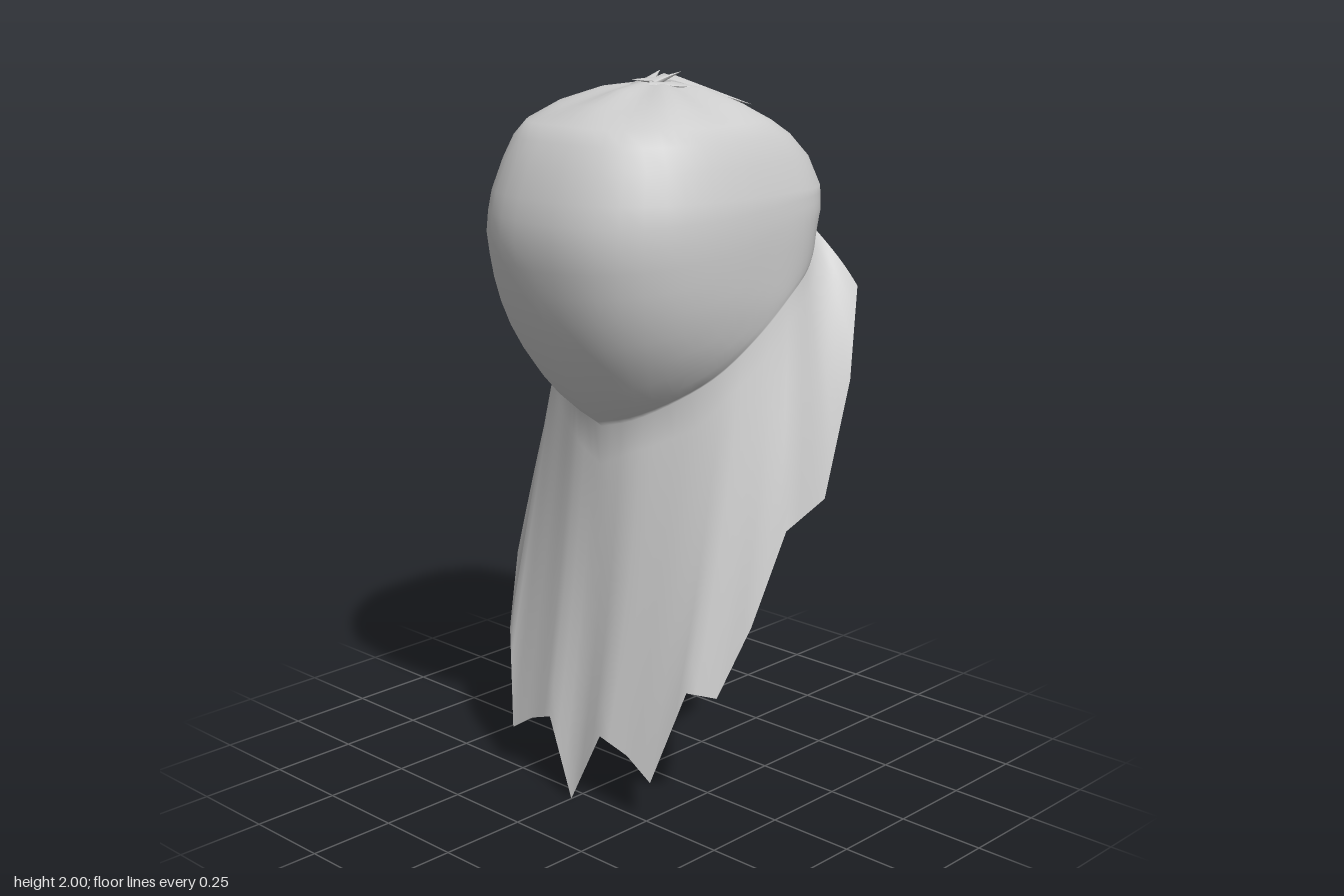
import * as THREE from 'three';
import { mergeGeometries, mergeVertices } from 'three/addons/utils/BufferGeometryUtils.js';

const V = (x, y, z) => new THREE.Vector3(x, y, z);
const lerp = THREE.MathUtils.lerp;

// Half of the hood opening, from the back centre round the left side to the front centre
const RIM = [
  V(0, 1.65, -0.405), V(0.15, 1.64, -0.405), V(0.29, 1.575, -0.372), V(0.355, 1.485, -0.27), V(0.378, 1.415, -0.16),
  V(0.36, 1.325, -0.06), V(0.3, 1.225, 0.03), V(0.2, 1.145, 0.1), V(0.1, 1.09, 0.15), V(0, 1.06, 0.165),
];
const rimCurve = new THREE.CatmullRomCurve3(RIM);
const LAST = RIM.length - 1;

function rimPoint(u) {
  const p = rimCurve.getPoint(u / LAST);
  if (u === 0 || u === LAST) p.x = 0;
  return p;
}

// Hood sections: height, half width, front z, back z, centre z
const SECTIONS = [
  [1.975, 0.035, 0.0, -0.11, -0.06], [1.955, 0.14, 0.09, -0.14, -0.06], [1.92, 0.24, 0.2, -0.19, -0.06],
  [1.88, 0.3, 0.3, -0.26, -0.07], [1.84, 0.33, 0.335, -0.32, -0.08], [1.78, 0.355, 0.37, -0.38, -0.1],
  [1.7, 0.38, 0.4, -0.415, -0.1], [1.64, 0.388, 0.413, -0.41, -0.1], [1.59, 0.39, 0.42, -0.388, -0.1],
  [1.45, 0.388, 0.405, -0.37, -0.1], [1.35, 0.375, 0.38, -0.35, -0.1], [1.22, 0.33, 0.32, -0.3, -0.1],
  [1.12, 0.27, 0.23, -0.25, -0.1], [1.05, 0.2, 0.165, -0.2, -0.1],
];

function sectionAt(y) {
  let k = 0;
  while (k < SECTIONS.length - 2 && y < SECTIONS[k + 1][0]) k++;
  const a = SECTIONS[k], b = SECTIONS[k + 1];
  const t = THREE.MathUtils.clamp((a[0] - y) / (a[0] - b[0]), 0, 1);
  return a.map((v, i) => lerp(v, b[i], t));
}

// Point on the rounded-square section at a height, angle measured from the front
function hoodPoint(angle, y) {
  const [, w, zf, zb, zc] = sectionAt(y);
  const s = Math.sin(angle), c = Math.cos(angle);
  const d = c > 0 ? zf - zc : zc - zb;
  const n = lerp(2.6, c > 0 ? 2.6 : 3.6, Math.min(1, Math.abs(c) * 3));
  const r = Math.pow(Math.pow(Math.abs(s) / w, n) + Math.pow(Math.abs(c) / d, n), -1 / n);
  return V(r * s, y, zc + r * c);
}

// Add the mirrored half to a row that ends on the centre line at the front
const mirrorRow = (row) => [...row, ...row.slice(0, -1).reverse().map((p) => V(-p.x, p.y, p.z))];

// Sheet through rows of points
function sheet(rows) {
  const n = rows[0].length, index = [];
  for (let i = 0; i < rows.length - 1; i++) {
    for (let j = 0; j < n - 1; j++) {
      const a = i * n + j, b = a + 1, c = a + n, d = c + 1;
      index.push(a, b, c, b, d, c);
    }
  }
  return new THREE.BufferGeometry().setFromPoints(rows.flat()).setIndex(index);
}

// Ragged hem stations: position along RIM, then the hem point
const HEM = [
  [2, V(0.435, 1.43, -0.385)], [2.5, V(0.485, 1.19, -0.3)], [3.1, V(0.495, 0.88, -0.19)],
  [3.8, V(0.487, 0.82, -0.04)], [4.4, V(0.46, 0.57, 0.065)], [5, V(0.41, 0.375, 0.145)],
  [5.6, V(0.35, 0.39, 0.2)], [6.4, V(0.275, 0.125, 0.262)], [7.1, V(0.19, 0.18, 0.265)],
  [8, V(0.1, 0.215, 0.28)], [LAST, V(0, 0.0, 0.295)],
];

// Drape columns, with extra ones between the hem stations
const COLUMNS = [];
for (let k = 0; k < HEM.length - 1; k++) {
  for (let t = 0; t < 3; t++) {
    COLUMNS.push([lerp(HEM[k][0], HEM[k + 1][0], t / 3), HEM[k][1].clone().lerp(HEM[k + 1][1], t / 3)]);
  }
}
COLUMNS.push(HEM[HEM.length - 1]);

function hoodGeometry() {
  const backSteps = Array.from({ length: 8 }, (_, i) => i / 4);
  const half = [...backSteps, ...COLUMNS.map((c) => c[0])].map((u) => {
    const rim = rimPoint(u);
    return { rim, angle: Math.atan2(rim.x, rim.z + 0.1) };
  });
  const rows = [half.map(() => V(0, 1.965, -0.055))];
  // crown
  for (const [y] of SECTIONS.slice(0, 7)) {
    rows.push(half.map(({ angle }) => {
      const p = hoodPoint(angle, y);
      // gathers fading out from the knot
      p.y += 0.006 * Math.cos(angle * 7) * THREE.MathUtils.smoothstep(y, 1.85, 1.94) * (y < 1.97 ? 1 : 0);
      return p;
    }));
  }
  // bowl, drawn in to the slanted opening
  for (let k = 1; k <= 11; k++) {
    const s = k / 11;
    rows.push(half.map(({ rim, angle }) =>
      hoodPoint(angle, lerp(1.7, rim.y, s)).lerp(rim, s * s * s)));
  }
  return sheet(rows.map(mirrorRow));
}

function drapeGeometry() {
  const ROWS = 10, rows = [];
  for (let i = 0; i <= ROWS; i++) {
    const t = i / ROWS;
    rows.push(mirrorRow(COLUMNS.map(([u, hem]) => {
      const p = rimPoint(u).lerp(hem, t);
      // slight swell at the sides and hollow at the front
      const swell = Math.sin(Math.PI * t);
      p.x += 0.025 * p.x * swell;
      p.z -= 0.015 * swell * (u / LAST) ** 3;
      return p;
    })));
  }
  return sheet(rows);
}

// Thin pinched fold between two points
function fold(from, to, width, height, material) {
  const geo = new THREE.ConeGeometry(1, from.distanceTo(to), 6);
  geo.scale(width, 1, height);
  const mesh = new THREE.Mesh(geo, material);
  const y = to.clone().sub(from).normalize();
  const x = V(0, 1, 0).cross(y).normalize();
  mesh.quaternion.setFromRotationMatrix(new THREE.Matrix4().makeBasis(x, y, x.clone().cross(y)));
  mesh.position.copy(from).lerp(to, 0.5);
  return mesh;
}

export function createModel() {
  const model = new THREE.Group();
  const cloth = new THREE.MeshStandardMaterial({ color: 0xcccccc, side: THREE.DoubleSide });
  cloth.name = 'pale grey cloth';

  // hood and ragged drape welded into one smooth cloth
  const geo = mergeVertices(mergeGeometries([hoodGeometry(), drapeGeometry()]), 1e-4);
  geo.computeVertexNormals();
  const hood = new THREE.Mesh(geo, cloth);
  hood.name = 'hoodWithDrape';
  model.add(hood);

  // gathered knot on the crown
  const knot = new THREE.Group();
  knot.name = 'crownKnot';
  knot.add(fold(V(0, 1.972, -0.105), V(0, 1.985, 0.05), 0.045, 0.016, cloth));
  for (const s of [-1, 1]) {
    knot.add(fold(V(0.01 * s, 1.975, -0.09), V(0.24 * s, 1.92, -0.165), 0.032, 0.018, cloth));
    knot.add(fold(V(0.01 * s, 1.97, -0.02), V(0.04 * s, 2.0, -0.105), 0.022, 0.012, cloth));
    knot.add(fold(V(0.02 * s, 1.965, 0.0), V(0.12 * s, 1.962, -0.09), 0.025, 0.014, cloth));
  }
  model.add(knot);
  return model;
}
